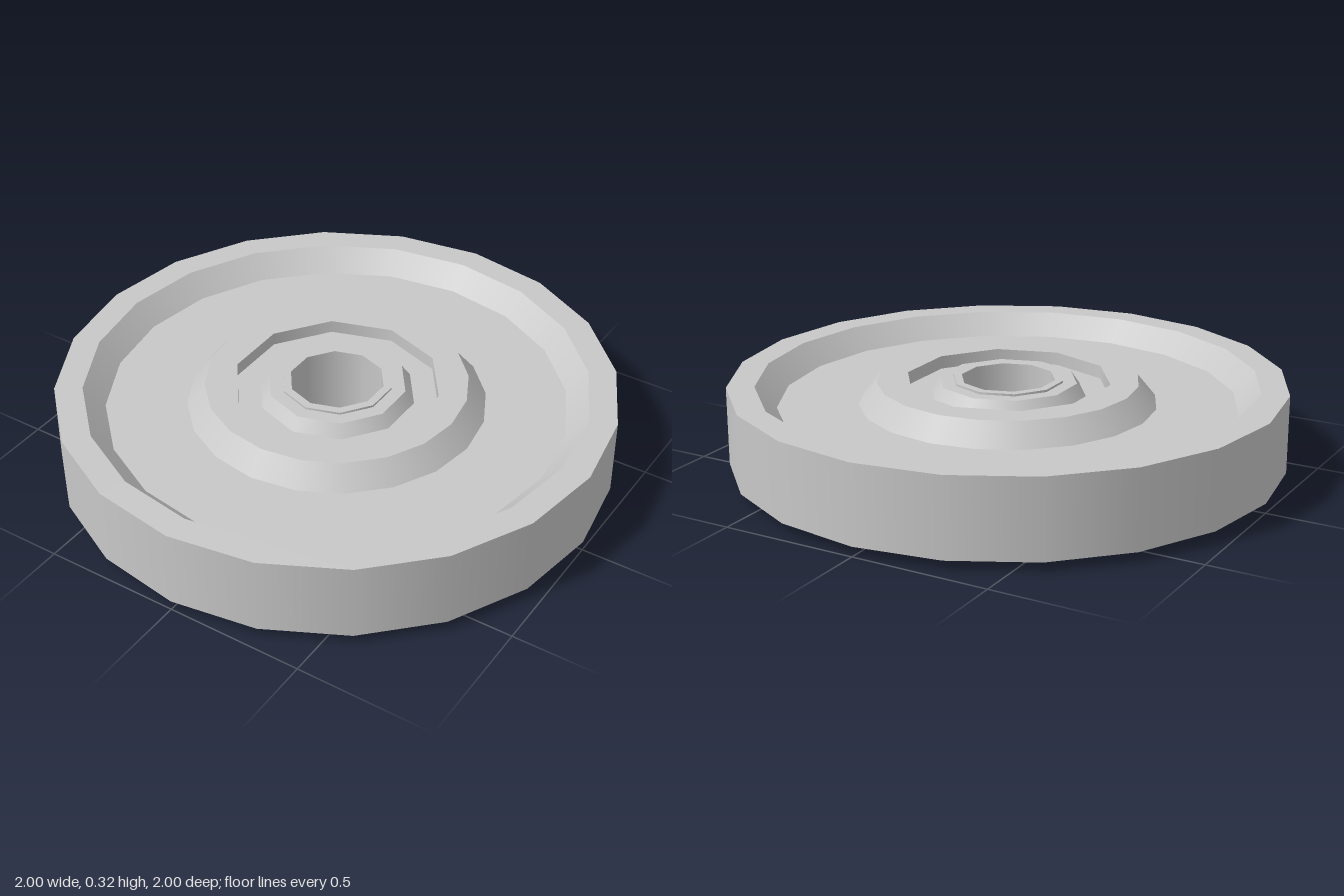
import * as THREE from 'three';
import { mergeGeometries } from 'three/addons/utils/BufferGeometryUtils.js';

// Lathe with smooth sides and a sharp edge at every profile point
function turned(profile, sides) {
  const bands = [];
  for (let i = 0; i < profile.length - 1; i++) {
    const pair = [profile[i], profile[i + 1]].map(([r, y]) => new THREE.Vector2(r, y));
    bands.push(new THREE.LatheGeometry(pair, sides));
  }
  return mergeGeometries(bands);
}

function polygon(radius, sides) {
  return Array.from({ length: sides }, (_, i) => {
    const a = (i / sides) * Math.PI * 2;
    return new THREE.Vector2(Math.sin(a) * radius, Math.cos(a) * radius);
  });
}

// Flat ring joining a 20-sided outline to a 10-sided opening
function flatRing(outer, inner, y, up) {
  const shape = new THREE.Shape(polygon(outer, 20));
  shape.holes.push(new THREE.Path(polygon(inner, 10)));
  const g = new THREE.ShapeGeometry(shape);
  g.rotateX(up ? -Math.PI / 2 : Math.PI / 2);
  g.translate(0, y, 0);
  return g;
}

export function createModel() {
  const group = new THREE.Group();
  group.name = 'wheel';
  const grey = new THREE.MeshStandardMaterial({ color: 0xc8c8c8 });
  grey.name = 'light grey';

  const add = (name, geometry) => {
    const mesh = new THREE.Mesh(geometry, grey);
    mesh.name = name;
    group.add(mesh);
  };

  // Rim, dished floor and raised cone, from the underside round to the top
  add('rimAndDish', turned([
    [0.81, 0.012], [0.86, 0.035], [1, 0.035], [1, 0.32],
    [0.9, 0.32], [0.825, 0.24], [0.535, 0.24], [0.47, 0.32],
  ], 20));
  add('topCollar', flatRing(0.47, 0.37, 0.32, true));
  add('undersidePlate', flatRing(0.81, 0.37, 0.012, false));

  // Recesses around the hub on both faces, with the bevelled hub standing in each
  add('upperHub', turned([
    [0.37, 0.32], [0.37, 0.272], [0.282, 0.272], [0.25, 0.317], [0.2, 0.317],
  ], 10));
  add('lowerHub', turned([
    [0.2, 0.01], [0.25, 0.01], [0.282, 0.056], [0.37, 0.056], [0.37, 0.012],
  ], 10));

  // Open axle sleeve
  add('axleSleeve', turned([
    [0.17, 0], [0.2, 0], [0.2, 0.325], [0.17, 0.325], [0.17, 0],
  ], 10));

  return group;
}
